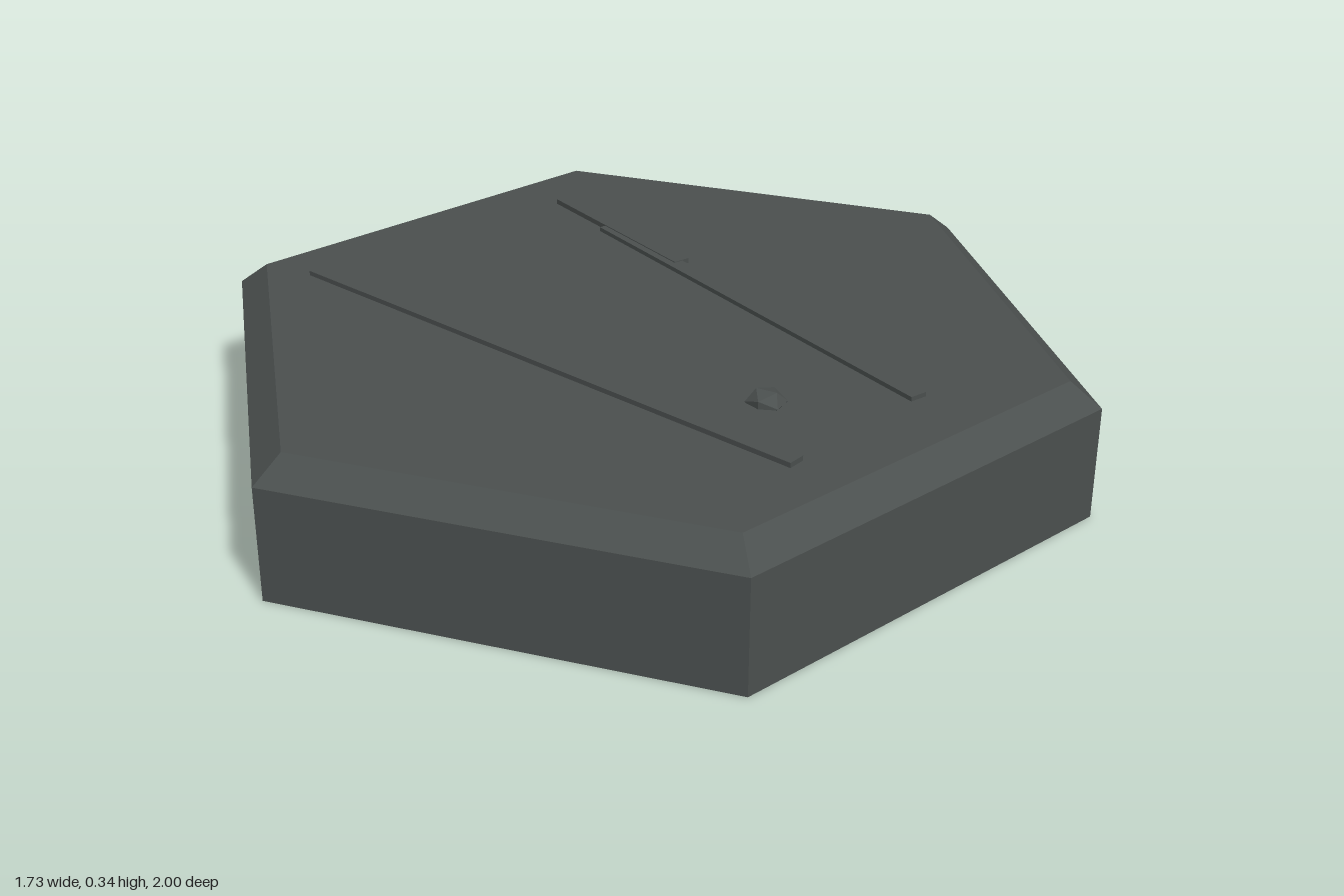
import * as THREE from 'three';

export function createModel() {
  const model = new THREE.Group();
  const stone = new THREE.MeshStandardMaterial({ color: 0x4a4f4e, flatShading: true });
  stone.name = 'dark stone';

  const add = (name, geometry, x, y, z) => {
    const mesh = new THREE.Mesh(geometry, stone);
    mesh.name = name;
    mesh.position.set(x, y, z);
    model.add(mesh);
    return mesh;
  };

  // Hexagonal slab with its corners towards front and back
  const baseHeight = 0.257, topHeight = 0.31;
  const bevelHeight = topHeight - baseHeight;
  const slab = new THREE.LatheGeometry([
    new THREE.Vector2(0, 0),
    new THREE.Vector2(1, 0),
    new THREE.Vector2(1, baseHeight),
    new THREE.Vector2(0.93, baseHeight + bevelHeight),
    new THREE.Vector2(0, topHeight),
  ], 6);
  add('hexagonSlab', slab, 0, 0, 0);

  // Thin raised strips laid across the top, from one end point to the other
  const strip = (name, x1, z1, x2, z2, top) => {
    const bottom = topHeight - 0.01;
    const length = Math.hypot(x2 - x1, z2 - z1);
    const mesh = add(name, new THREE.BoxGeometry(length, top - bottom, 0.04),
      (x1 + x2) / 2, (top + bottom) / 2, (z1 + z2) / 2);
    mesh.rotation.y = -Math.atan2(z2 - z1, x2 - x1);
  };
  strip('frontStrip', -0.688, 0.404, 0.688, 0.212, 0.321);
  strip('backStripShort', -0.656, -0.303, -0.17, -0.262, 0.322);
  strip('backStripLong', -0.45, -0.27, 0.655, -0.168, 0.32);

  // Small faceted pebble, half sunk into the surface
  const pebble = add('pebble', new THREE.IcosahedronGeometry(0.044, 0), 0.462, 0.312, 0.075);
  pebble.scale.y = 0.65;
  pebble.rotation.y = 0.35;

  return model;
}
